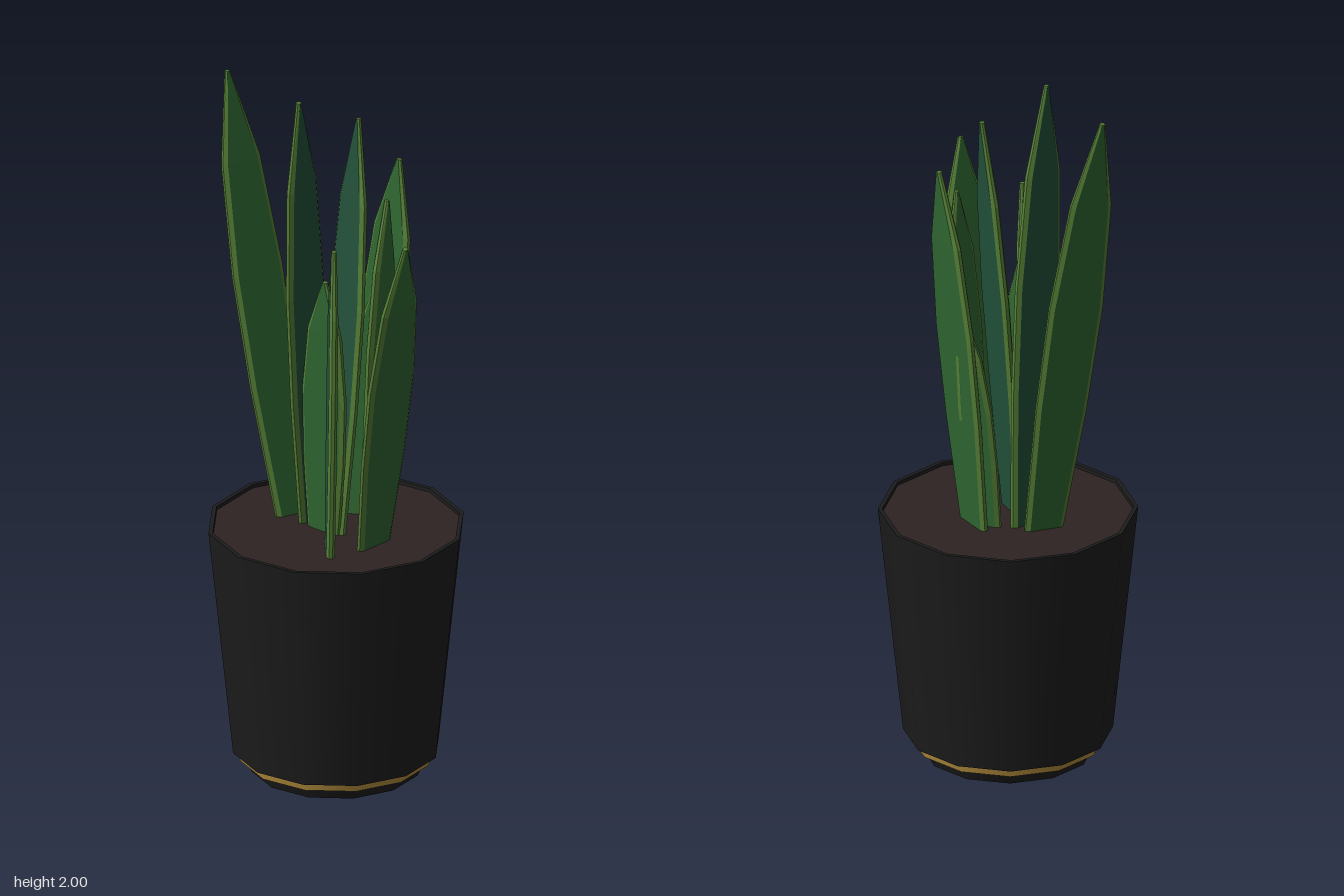
import * as THREE from 'three';

const mat = (name, color, double = false) => {
  const m = new THREE.MeshStandardMaterial({ color });
  m.name = name;
  if (double) m.side = THREE.DoubleSide;
  return m;
};

export function createModel() {
  const model = new THREE.Group();
  model.name = 'pottedPlant';
  const potBlack = mat('potBlack', 0x1c1c1c, true);
  const gold = mat('gold', 0xb08a3c);
  const soilBrown = mat('soilBrown', 0x2e2323);
  const leafGreen = mat('leafGreen', 0x2f6631);
  const leafTeal = mat('leafTeal', 0x22503a);
  const rimGreen = mat('leafEdgeGreen', 0x557f36);

  const SIDES = 12, POT_X = -0.01;
  const add = (name, geometry, material, y = 0, parent = model) => {
    const mesh = new THREE.Mesh(geometry, material);
    mesh.name = name;
    mesh.position.y = y;
    parent.add(mesh);
    return mesh;
  };

  // Pot: each straight band is its own surface, so the edges stay sharp
  const pot = new THREE.Group();
  pot.name = 'pot';
  pot.position.x = POT_X;
  model.add(pot);
  const band = (name, r0, y0, r1, y1, material = potBlack) => add(name,
    new THREE.LatheGeometry([new THREE.Vector2(r0, y0), new THREE.Vector2(r1, y1)], SIDES),
    material, 0, pot);
  band('potUnderside', 0.25, 0.055, 0.288, 0.06);
  band('potWall', 0.288, 0.06, 0.357, 0.725);
  band('potRim', 0.357, 0.725, 0.345, 0.725);
  band('potInnerWall', 0.345, 0.725, 0.343, 0.7);
  add('soil', new THREE.CylinderGeometry(0.344, 0.344, 0.02, SIDES), soilBrown, 0.705, pot);
  add('goldBand', new THREE.CylinderGeometry(0.272, 0.268, 0.022, SIDES), gold, 0.046, pot);
  add('potFoot', new THREE.CylinderGeometry(0.25, 0.236, 0.036, SIDES), potBlack, 0.018, pot);

  // Leaf: an eight-point cross-section swept from the soil to the tip
  const STATIONS = [[0, 0.7], [0.3, 0.95], [0.55, 1], [0.8, 0.76], [1, 0.09]]; // height, width
  const BASE_Y = 0.705, THICK = 0.012, BORDER = 0.012;

  function addLeaf(name, [bx, bz], tip, [wx, wz], halfWidth, material) {
    const base = new THREE.Vector3(bx, BASE_Y, bz);
    const top = new THREE.Vector3(...tip);
    const axis = top.clone().sub(base).normalize();
    const across = new THREE.Vector3(wx, 0, wz);
    across.addScaledVector(axis, -across.dot(axis)).normalize();
    const normal = across.clone().cross(axis);

    const rings = STATIONS.map(([t, s]) => {
      const c = base.clone().lerp(top, t);
      const hw = halfWidth * s;
      const inner = Math.max(hw - BORDER, hw * 0.4);
      const th = t === 1 ? THICK * 0.6 : THICK;
      return [
        [inner, th], [hw, th * 0.4], [hw, -th * 0.4], [inner, -th],
        [-inner, -th], [-hw, -th * 0.4], [-hw, th * 0.4], [-inner, th],
      ].map(([u, n]) => c.clone().addScaledVector(across, u).addScaledVector(normal, n));
    });

    const blade = [], edge = [];
    const tri = (list, ...pts) => pts.forEach((p) => list.push(p.x, p.y, p.z));
    for (let i = 0; i < rings.length - 1; i++) {
      for (let k = 0; k < 8; k++) {
        const j = (k + 1) % 8;
        const list = k % 4 === 3 ? blade : edge; // the two broad faces
        const a = rings[i][k], b = rings[i][j], c = rings[i + 1][j], d = rings[i + 1][k];
        tri(list, a, b, c);
        tri(list, a, c, d);
      }
    }
    const end = rings[rings.length - 1];
    for (let k = 1; k < 7; k++) tri(edge, end[0], end[k], end[k + 1]);

    const leaf = new THREE.Group();
    leaf.name = name;
    for (const [part, list, m] of [['blade', blade, material], ['leafEdge', edge, rimGreen]]) {
      const g = new THREE.BufferGeometry();
      g.setAttribute('position', new THREE.Float32BufferAttribute(list, 3));
      g.computeVertexNormals();
      add(part, g, m, 0, leaf);
    }
    model.add(leaf);
  }

  // name, base [x, z], tip [x, y, z], width direction [x, z], half width, colour
  addLeaf('rightLeaf', [-0.155, 0.025], [-0.352, 1.995, 0.095], [-0.2, 1], 0.078, leafGreen);
  addLeaf('leftLeaf', [0.15, 0.005], [0.355, 1.685, 0.07], [0.1, 1], 0.087, leafGreen);
  addLeaf('tallLeaf', [-0.1, 0.005], [-0.057, 1.995, 0.095], [0.2, 1], 0.08, leafTeal);
  addLeaf('frontLeftLeaf', [0.105, 0.125], [0.128, 1.62, 0.13], [0.77, 0.62], 0.078, leafTeal);
  addLeaf('frontLeaf', [-0.015, 0.04], [0.03, 1.48, 0.075], [1, -0.1], 0.078, leafGreen);
  addLeaf('centreLeaf', [0, 0.02], [-0.012, 1.91, -0.085], [1, 0.1], 0.075, leafTeal);
  addLeaf('backLeaf', [-0.03, -0.12], [0.03, 1.77, -0.197], [1, 0], 0.092, leafGreen);
  addLeaf('backLeftLeaf', [0.08, -0.05], [0.065, 1.68, -0.12], [0.3, 1], 0.065, leafGreen);
  addLeaf('shortBackLeaf', [-0.06, -0.09], [-0.04, 1.35, -0.16], [0.8, -0.5], 0.05, leafGreen);

  return model;
}
